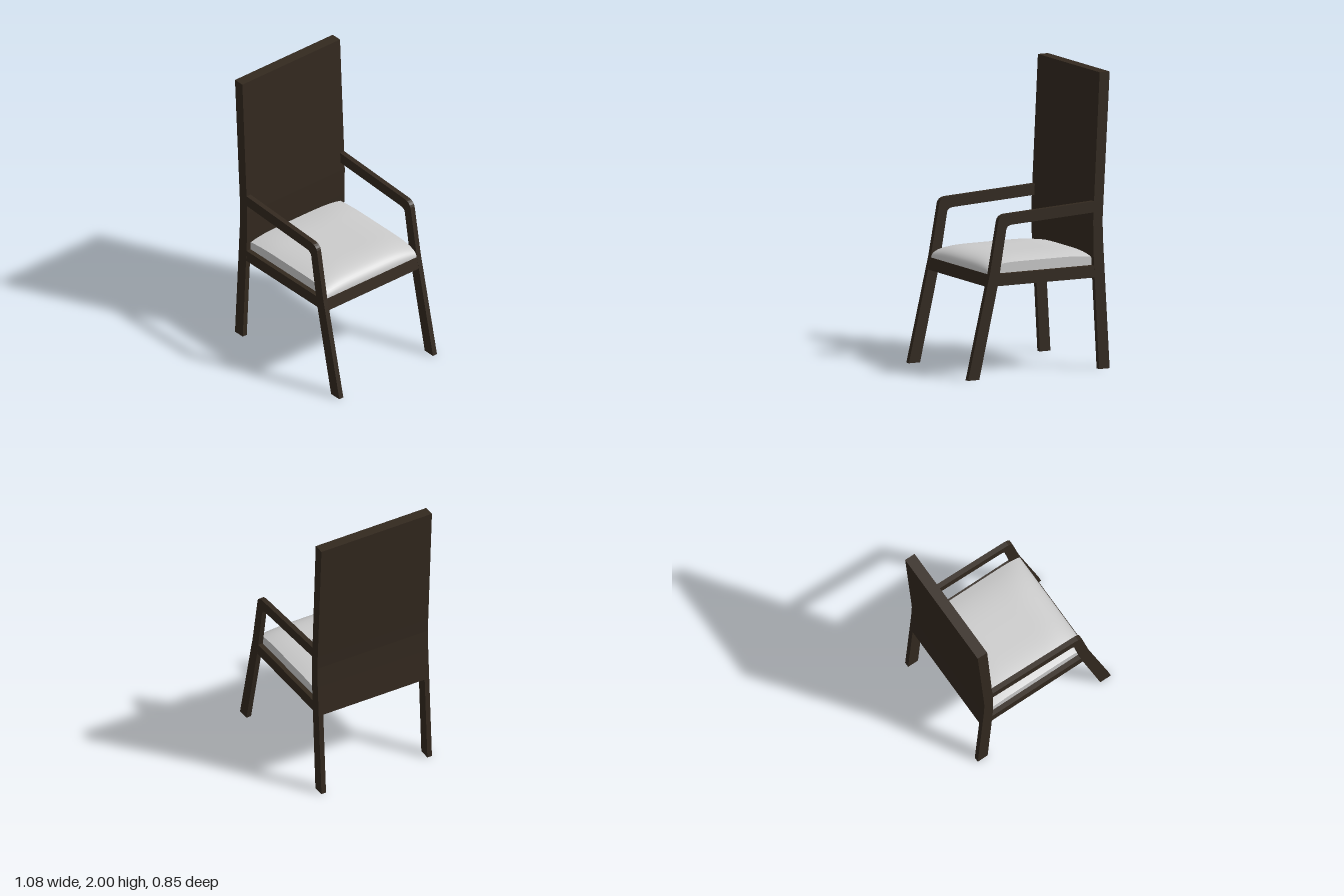
import * as THREE from 'three';
import { toCreasedNormals } from 'three/addons/utils/BufferGeometryUtils.js';

const wood = new THREE.MeshStandardMaterial({ color: 0x33291f });
const fabric = new THREE.MeshStandardMaterial({ color: 0xcccccc });
const OUT = 0.425, IN = 0.39; // outer and inner faces of the side frames

// Extrude a side profile (x, y) between two z positions
function slab(name, shape, z0, z1) {
  const geometry = new THREE.ExtrudeGeometry(shape, { depth: z1 - z0, bevelEnabled: false, curveSegments: 4 });
  geometry.translate(0, 0, z0);
  const mesh = new THREE.Mesh(geometry, wood);
  mesh.name = name;
  return mesh;
}

const polygon = (points) => new THREE.Shape(points.map(([x, y]) => new THREE.Vector2(x, y)));

// Front leg that bends over into the armrest
function armShape() {
  const s = new THREE.Shape();
  s.moveTo(0.45, 0);
  s.lineTo(0.535, 0);
  s.lineTo(0.385, 0.64);
  s.lineTo(0.37, 0.7);
  s.lineTo(0.304, 1.06);
  s.quadraticCurveTo(0.295, 1.095, 0.25, 1.1);
  s.lineTo(-0.43, 1.135);
  s.lineTo(-0.43, 1.06);
  s.lineTo(0.2, 1.027);
  s.quadraticCurveTo(0.24, 1.025, 0.245, 0.995);
  s.lineTo(0.295, 0.7);
  s.lineTo(0.31, 0.62);
  s.closePath();
  return s;
}

// Padded cushion: a box whose top is crowned and rolls down at the front
function cushion() {
  const x0 = -0.43, x1 = 0.366, base = 0.695;
  const g = new THREE.BoxGeometry(1, 1, 1, 28, 1, 20);
  const p = g.attributes.position;
  for (let i = 0; i < p.count; i++) {
    const x = x0 + (x1 - x0) * Math.sin((p.getX(i) + 0.5) * Math.PI / 2);
    const t = Math.abs(p.getZ(i)) * 2;
    const front = Math.max(0, (x - 0.1) / (x1 - 0.1));
    const back = Math.max(0, (-0.2 - x) / 0.23);
    const roll = Math.max(0.04, Math.pow(Math.max(0, 1 - front ** 3), 0.4)) * (1 - 0.2 * back ** 2);
    const height = 0.107 * roll * (1 - 0.3 * t ** 4);
    p.setXYZ(i, x, p.getY(i) > 0 ? base + height : base, p.getZ(i) * 2 * IN);
  }
  const mesh = new THREE.Mesh(toCreasedNormals(g, 0.7), fabric);
  mesh.name = 'seatCushion';
  return mesh;
}

export function createModel() {
  const chair = new THREE.Group();
  chair.name = 'armchair';

  // Tall, slightly bent back panel
  chair.add(slab('backPanel', polygon([
    [-0.504, 0.62], [-0.426, 0.62], [-0.417, 0.8], [-0.415, 1.0], [-0.421, 1.13],
    [-0.464, 2], [-0.54, 2], [-0.491, 1.1], [-0.486, 1.0], [-0.491, 0.85],
  ]), -OUT, OUT));

  // Solid seat base with a front edge that follows the legs
  chair.add(slab('seatBase', polygon([[-0.43, 0.62], [0.388, 0.62], [0.369, 0.7], [-0.43, 0.7]]), -OUT + 0.001, OUT - 0.001));
  chair.add(cushion());

  // Legs and armrests on both sides
  const backLeg = polygon([[-0.54, 0], [-0.46, 0], [-0.426, 0.62], [-0.504, 0.62]]);
  for (const [side, z] of [['left', -OUT], ['right', IN]]) {
    chair.add(slab(side + 'FrontLegAndArm', armShape(), z, z + OUT - IN));
    chair.add(slab(side + 'BackLeg', backLeg, z, z + OUT - IN));
  }
  return chair;
}
